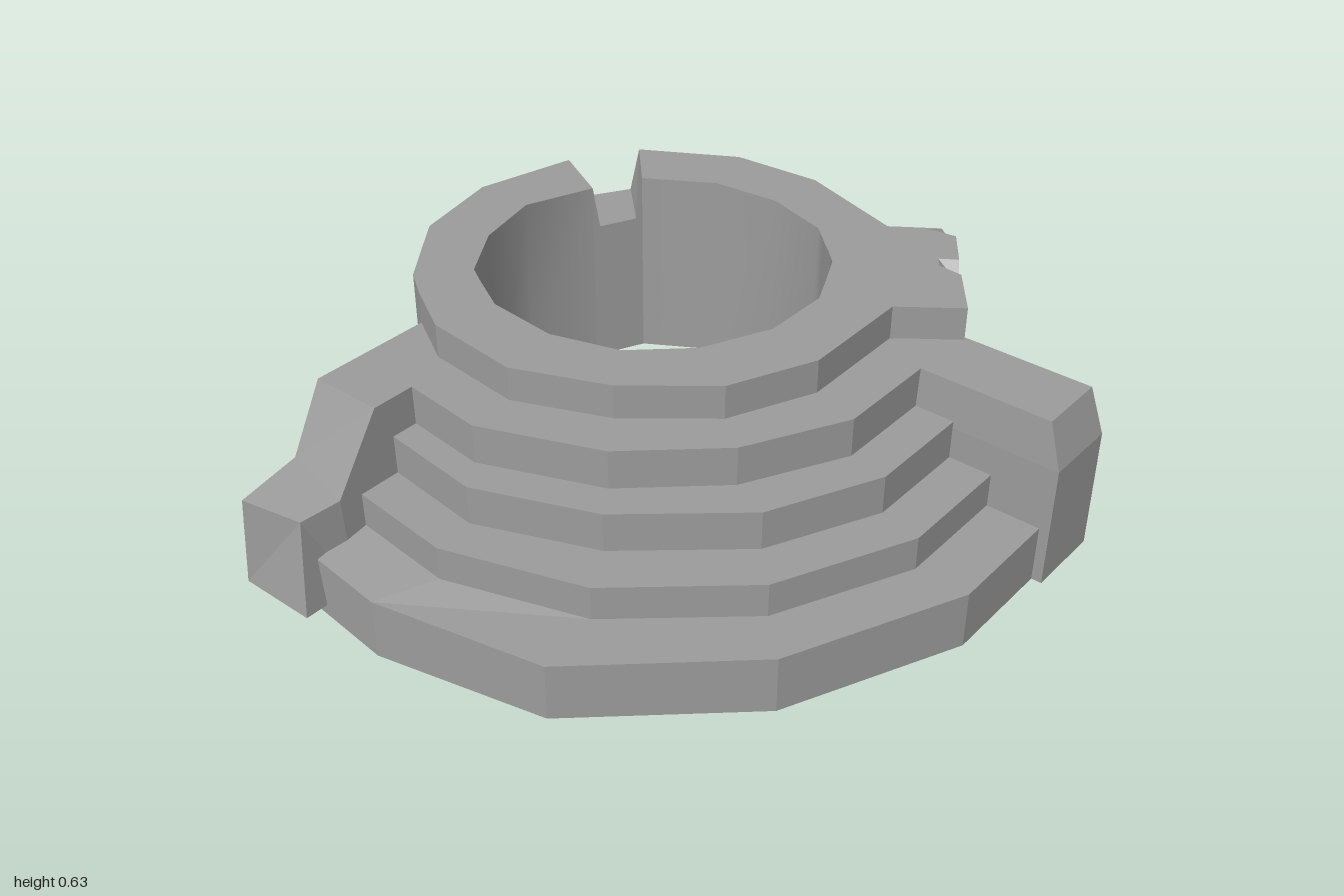
import * as THREE from 'three';

const COLOR = 0x9c9c9c;
const flat = new THREE.MeshStandardMaterial({ color: COLOR, flatShading: true, side: THREE.DoubleSide });
const smooth = new THREE.MeshStandardMaterial({ color: COLOR, side: THREE.DoubleSide });

// Skin over rows of [x, y, z] points; `closed` joins row ends, `cap` fills the last row (a quad)
function loft(name, rows, { closed = false, cap = false, soft = false } = {}) {
  const n = rows[0].length, index = [];
  for (let r = 0; r < rows.length - 1; r++) {
    for (let i = 0; i < (closed ? n : n - 1); i++) {
      const a = r * n + i, b = r * n + (i + 1) % n;
      index.push(a, a + n, b, b, a + n, b + n);
    }
  }
  if (cap) {
    const k = (rows.length - 1) * n;
    index.push(k, k + 2, k + 1, k, k + 3, k + 2);
  }
  let g = new THREE.BufferGeometry();
  g.setAttribute('position', new THREE.Float32BufferAttribute(rows.flat(2), 3));
  g.setIndex(index);
  if (!soft) g = g.toNonIndexed();
  g.computeVertexNormals();
  const mesh = new THREE.Mesh(g, soft ? smooth : flat);
  mesh.name = name;
  return mesh;
}

const BASE = 0.035, TOP = 0.635, NOTCH = 0.5, TREAD = 0.535;

// Plan of the ring wall: outer x, z, inner x, z, foot height, outer top height
const plan = [
  [0.77, -0.76, 0.62, -0.62], [0.93, -0.48, 0.74, -0.42], [0.95, -0.2, 0.76, -0.21],
  [0.84, 0.14, 0.70, -0.01], [0.93, 0.27, 0.66, 0.035], [0.953, 0.30, 0.65, 0.045, BASE, 0.58],
  [0.915, 0.328, 0.64, 0.055], [0.80, 0.41, 0.60, 0.10],
  [0.765, 0.435, 0.58, 0.12, BASE, 0.58], [0.73, 0.46, 0.56, 0.14], [0.583, 0.572, 0.45, 0.193],
  [0.46, 0.41, 0.37, 0.23, TREAD], [0.11, 0.415, 0.16, 0.23, TREAD], [-0.14, 0.305, -0.04, 0.14, TREAD],
  [-0.32, 0.085, -0.18, -0.01, TREAD], [-0.43, -0.18, -0.24, -0.21, TREAD], [-0.40, -0.475, -0.22, -0.43, TREAD],
  [-0.305, -0.64, -0.155, -0.55], [-0.25, -0.72, -0.12, -0.61], [-0.02, -0.895, 0.05, -0.72],
  [0.26, -0.955, 0.26, -0.77], [0.57, -0.88, 0.47, -0.69],
];

function ringWall() {
  const g = new THREE.Group();
  g.name = 'ringWall';
  const mix = (a, b, t) => a + (b - a) * t;
  g.add(loft('outerWall', [
    plan.map(p => [p[0], p[4] ?? BASE, p[1]]),
    plan.map(p => [p[0], p[5] ?? TOP, p[1]]),
    plan.map(p => [mix(p[0], p[2], 0.16), TOP, mix(p[1], p[3], 0.16)]),
    plan.map(p => [p[2], TOP, p[3]]),
  ]));
  g.add(loft('innerWall', [TOP, BASE].map(y => plan.map(p => [p[2], y, p[3]])), { soft: true }));
  // Lowered gap in the back of the ring, with sloping sides
  const [a, b] = [plan[plan.length - 1], plan[0]];
  const gap = [[0, TOP], [0.13, NOTCH], [0.87, NOTCH], [1, TOP]]
    .map(([t, y]) => [...[0, 1, 2, 3].map(k => mix(a[k], b[k], t)), y]);
  g.add(loft('gap', [
    gap.map(p => [p[0], BASE, p[1]]), gap.map(p => [p[0], p[4], p[1]]),
    gap.map(p => [p[2], p[4], p[3]]), gap.map(p => [p[2], BASE, p[3]]),
  ]));
  return g;
}

// Curved steps: each has a tread height and an outline in plan
function steps() {
  const outlines = [
    [0.205, [[0.45, 0.97], [0.02, 0.97], [-0.48, 0.745], [-0.86, 0.33], [-0.945, -0.19], [-0.91, -0.5]]],
    [0.305, [[0.45, 0.81], [0.02, 0.81], [-0.37, 0.63], [-0.66, 0.30], [-0.79, -0.10], [-0.75, -0.5]]],
    [0.42, [[0.45, 0.68], [0.05, 0.68], [-0.27, 0.53], [-0.53, 0.23], [-0.665, -0.11], [-0.62, -0.5]]],
    [TREAD, [[0.45, 0.56], [0.07, 0.56], [-0.22, 0.41], [-0.44, 0.17], [-0.575, -0.17], [-0.54, -0.5]]],
  ];
  const rows = [];
  let below = BASE;
  outlines.forEach(([top, line], s) => {
    // the far end of the lowest step sags a little
    const sag = (i, drop) => (s === 0 && i > 3 ? drop : 0);
    rows.push(line.map(([x, z], i) => [x, below - sag(i, BASE), z]));
    rows.push(line.map(([x, z], i) => [x, top - sag(i, 0.025), z]));
    below = top;
  });
  rows.push(plan.slice(11, 17).map(p => [p[0], TREAD, p[1]]));
  return loft('steps', rows);
}

// Straight buttresses closing both ends of the steps
function buttresses() {
  const g = new THREE.Group();
  g.name = 'buttresses';
  const rect = (y, x0, x1, z0, z1) => [[x0, y, z0], [x0, y, z1], [x1, y, z1], [x1, y, z0]];
  g.add(loft('frontButtress', [
    rect(BASE, 0.37, 0.607, 0.42, 1), rect(0.4, 0.373, 0.605, 0.42, 1), rect(0.535, 0.383, 0.595, 0.42, 0.955),
  ], { closed: true, cap: true }));
  // section: foot x, then x, y, z of the back and front top corners
  const section = (x, back, front) => [[x, BASE, -0.65], back, front, [x, BASE, -0.41]];
  g.add(loft('sideButtress', [
    section(-0.27, [-0.27, 0.535, -0.64], [-0.27, 0.535, -0.42]),
    section(-0.68, [-0.68, 0.535, -0.64], [-0.68, 0.535, -0.42]),
    section(-0.82, [-0.785, 0.335, -0.645], [-0.83, 0.325, -0.415]),
    section(-0.99, [-0.98, 0.31, -0.63], [-0.945, 0.31, -0.44]),
  ], { cap: true }));
  return g;
}

// Loose flat bricks standing proud of the walls: position, length, height, turn
function bricks() {
  const g = new THREE.Group();
  g.name = 'bricks';
  const along = Math.PI / 2;
  const list = [
    [0.625, 0.275, 0.84, 0.15, 0.027, along], [0.625, 0.238, 0.75, 0.155, 0.027, along],
    [0.605, 0.31, 0.65, 0.155, 0.03, along],
    [0.865, 0.475, 0.06, 0.15, 0.03, 1.26], [0.943, 0.465, -0.205, 0.155, 0.03, 1.5],
    [0.915, 0.425, -0.09, 0.15, 0.03, 1.26], [0.873, 0.395, 0.035, 0.15, 0.03, 1.26],
    [0.898, 0.35, -0.04, 0.15, 0.03, 1.26],
    [0.862, 0.305, -0.555, 0.29, 0.04, 2.05], [0.845, 0.235, -0.595, 0.29, 0.04, 2.05],
    [0.31, 0.27, -0.952, 0.29, 0.032, -0.14], [0.43, 0.235, -0.913, 0.25, 0.035, -0.25],
  ];
  for (const [x, y, z, length, height, turn] of list) {
    const brick = new THREE.Mesh(new THREE.BoxGeometry(length, height, 0.055), flat);
    brick.name = 'brick';
    brick.position.set(x, y, z);
    brick.rotation.y = turn;
    g.add(brick);
  }
  return g;
}

// Wedge-shaped block at the foot of the flat front face
function footBlock() {
  const ring = (back, front) => [[0.76, back, 0.425], [0.85, front, 0.492], [0.985, front, 0.392], [0.935, back, 0.295]];
  return loft('footBlock', [ring(BASE, BASE), ring(0.213, 0.203)], { closed: true, cap: true });
}

export function createModel() {
  const model = new THREE.Group();
  model.name = 'ruinedRoundWell';
  model.add(ringWall(), steps(), buttresses(), bricks(), footBlock());
  return model;
}
